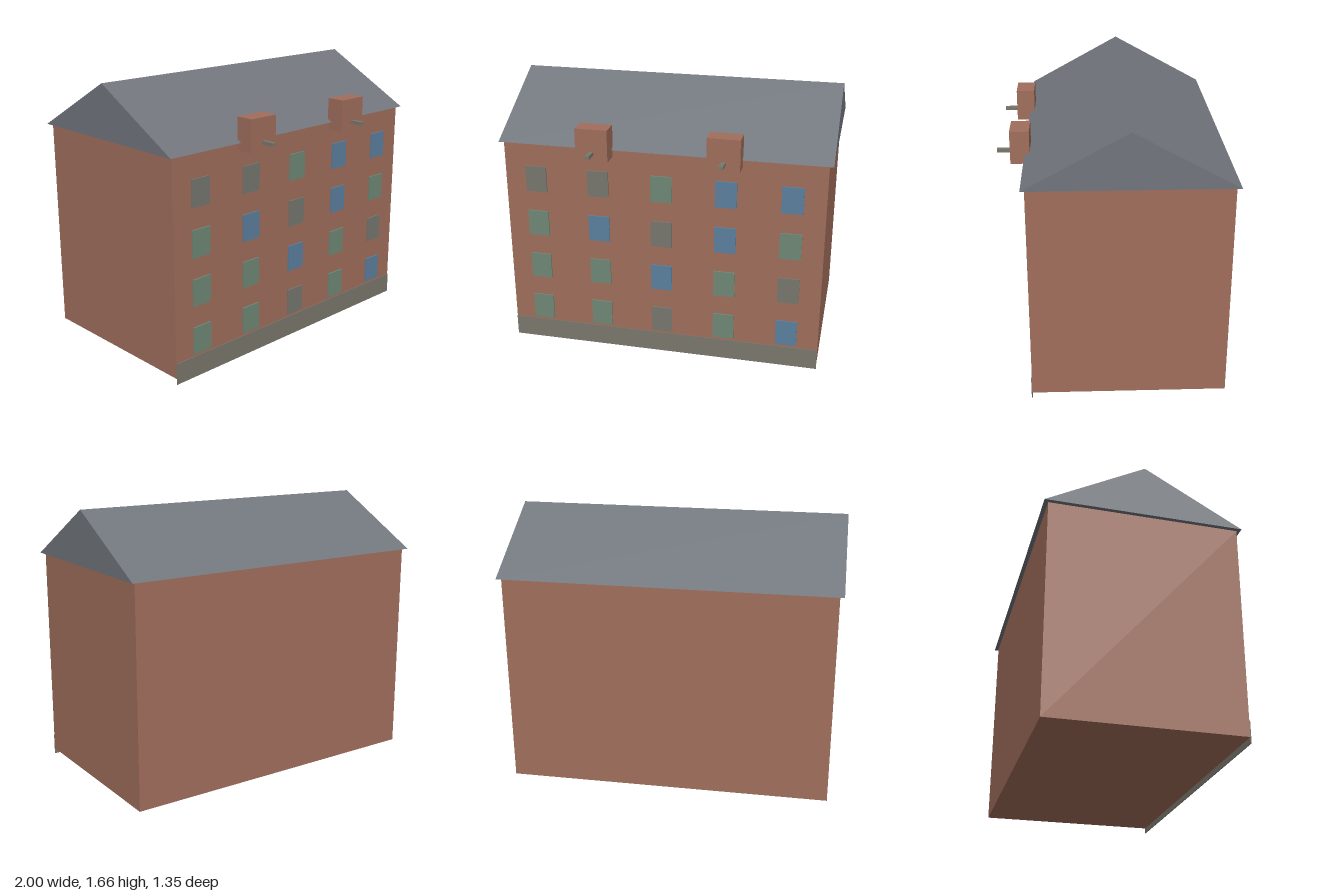
import * as THREE from 'three';

const material = (name, color) => {
  const m = new THREE.MeshStandardMaterial({ color });
  m.name = name;
  return m;
};

export function createModel() {
  const brick = material('brick', 0xa06e5b);
  const slate = material('slate', 0x71757c);
  const stone = material('stone', 0x7a776c);
  const panes = {
    b: material('blue glass', 0x5b7f9e),
    g: material('green glass', 0x6f8876),
    n: material('grey glass', 0x77776f),
  };
  const group = new THREE.Group();
  group.name = 'warehouse';

  // Box given by its limits on each axis
  const box = (name, mat, [x0, x1], [y0, y1], [z0, z1]) => {
    const mesh = new THREE.Mesh(new THREE.BoxGeometry(x1 - x0, y1 - y0, z1 - z0), mat);
    mesh.position.set((x0 + x1) / 2, (y0 + y1) / 2, (z0 + z1) / 2);
    mesh.name = name;
    group.add(mesh);
  };

  const wallZ = 0.487;
  box('walls', brick, [-0.975, 0.975], [0.035, 1.335], [-0.648, wallZ]);
  box('plinth', stone, [-0.975, 0.975], [0, 0.13], [wallZ, wallZ + 0.005]);

  // Gable roof: triangle in z and y, extruded along x
  const gable = new THREE.Shape([
    new THREE.Vector2(-0.51, 1.335),
    new THREE.Vector2(0.673, 1.335),
    new THREE.Vector2(0.082, 1.66),
  ]);
  const roofGeometry = new THREE.ExtrudeGeometry(gable, { depth: 2, bevelEnabled: false });
  roofGeometry.translate(0, 0, -1).rotateY(Math.PI / 2);
  const roof = new THREE.Mesh(roofGeometry, slate);
  roof.name = 'roof';
  group.add(roof);

  // Windows, rows from the top down
  const rows = ['nngbb', 'gbnbg', 'ggbgn', 'ggngb'];
  rows.forEach((row, r) => {
    const y = 1.107 - r * 0.2925;
    [...row].forEach((key, c) => {
      const x = (c - 2) * 0.39;
      box('window', panes[key], [x - 0.065, x + 0.065], [y - 0.082, y + 0.082], [wallZ, wallZ + 0.009]);
    });
  });

  // Hoist housings at the eaves, each with a projecting beam
  for (const x of [-0.39, 0.387]) {
    box('hoistHousing', brick, [x - 0.097, x + 0.097], [1.287, 1.482], [0.478, 0.591]);
    box('hoistBeam', stone, [x - 0.013, x + 0.013], [1.326, 1.347], [0.58, 0.673]);
  }
  return group;
}
